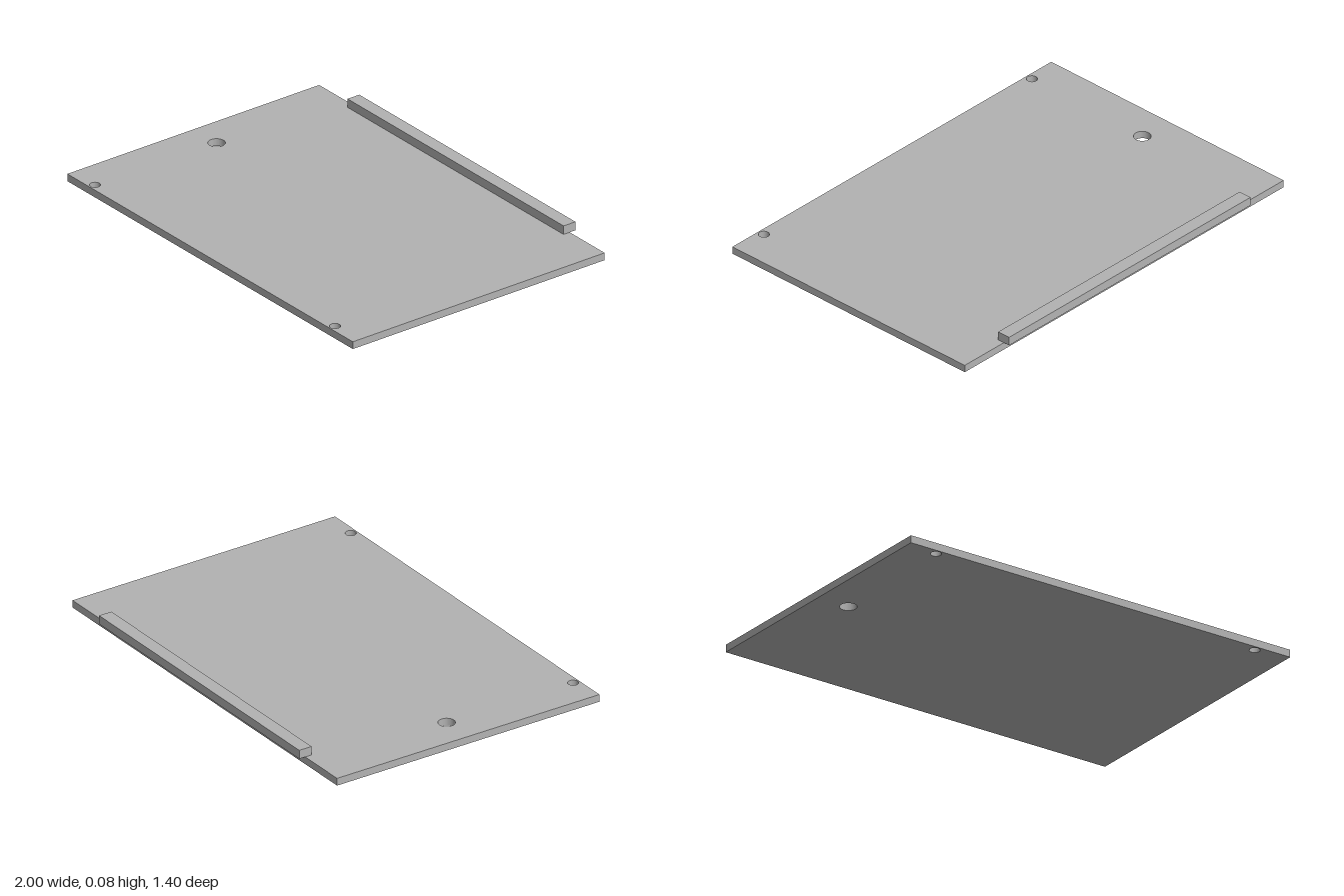
import * as THREE from 'three';

const THICKNESS = 0.035;

// Flat plate in the xz plane, pierced by round holes given as [x, z, radius]
function piercedPlate(x0, x1, z0, z1, holes) {
  const shape = new THREE.Shape([
    new THREE.Vector2(x0, z0),
    new THREE.Vector2(x1, z0),
    new THREE.Vector2(x1, z1),
    new THREE.Vector2(x0, z1),
  ]);
  for (const [x, z, r] of holes) {
    shape.holes.push(new THREE.Path().absarc(x, z, r, 0, Math.PI * 2, true));
  }
  const geometry = new THREE.ExtrudeGeometry(shape, {
    depth: THICKNESS,
    bevelEnabled: false,
    curveSegments: 24,
  });
  // Lay the plate down so that shape y becomes z
  return geometry.rotateX(Math.PI / 2).translate(0, THICKNESS, 0);
}

export function createModel() {
  const group = new THREE.Group();
  group.name = 'mountingBoard';

  const grey = new THREE.MeshStandardMaterial({ color: 0xb2b2b2 });
  grey.name = 'grey';

  // Base plate with one large and two small mounting holes
  const plate = new THREE.Mesh(
    piercedPlate(-1, 1, -0.668, 0.699, [
      [-0.84, 0.013, 0.038],
      [-0.846, 0.668, 0.024],
      [0.835, 0.668, 0.024],
    ]),
    grey
  );
  plate.name = 'basePlate';
  group.add(plate);

  // Connector bar on top, overhanging the back edge
  const bar = new THREE.Mesh(new THREE.BoxGeometry(1.514, 0.041, 0.064), grey);
  bar.name = 'connectorBar';
  bar.position.set(-0.002, THICKNESS + 0.0205, -0.667);
  group.add(bar);

  return group;
}
